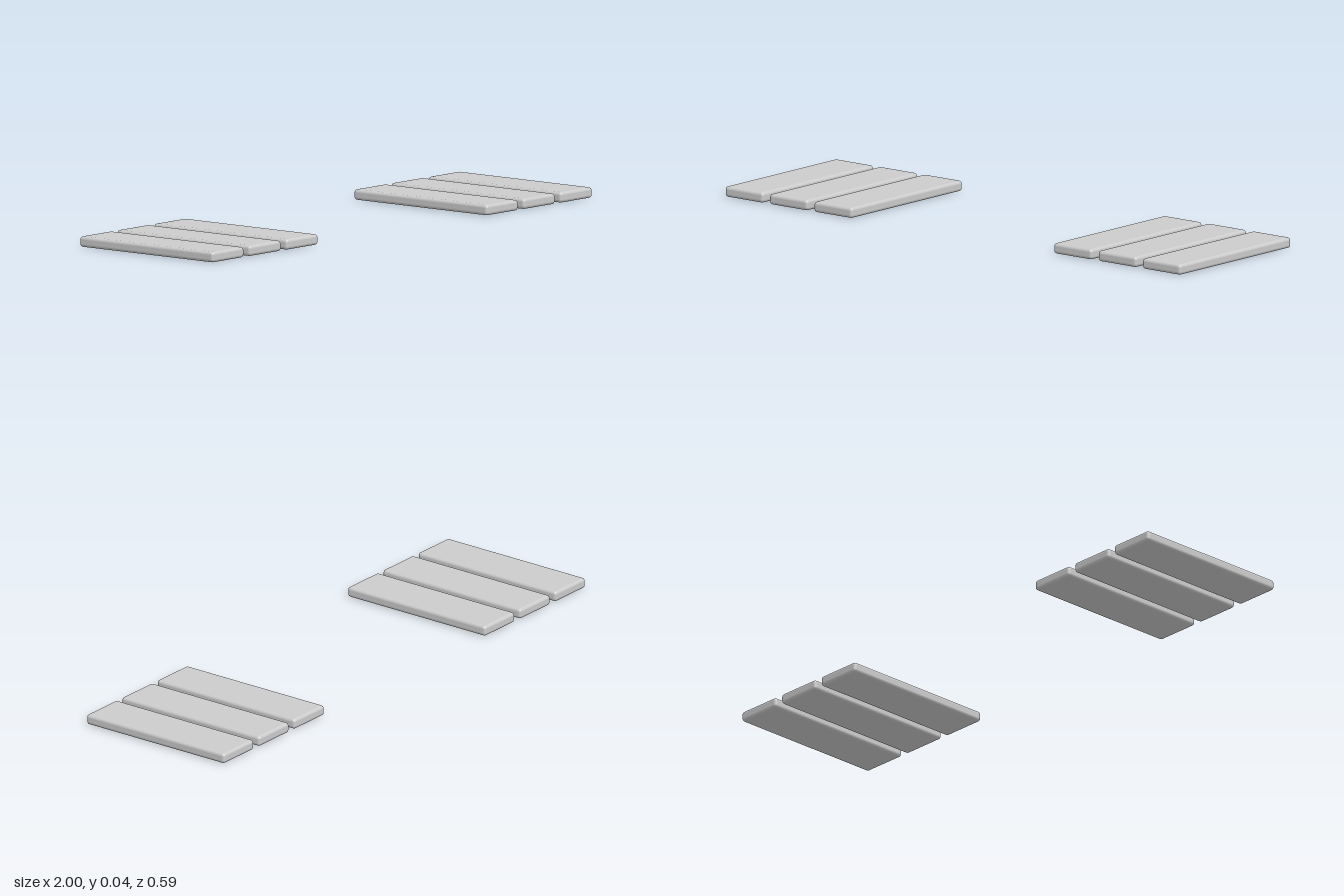
import * as THREE from 'three';
import { RoundedBoxGeometry } from 'three/addons/geometries/RoundedBoxGeometry.js';

const WIDTH = 0.168, HEIGHT = 0.036, DEPTH = 0.588, BEVEL = 0.011;
const PITCH = 0.195; // plank width plus gap

export function createModel() {
  const model = new THREE.Group();
  model.name = 'plankSets';
  const material = new THREE.MeshStandardMaterial({ color: 0xcccccc });
  const plankGeometry = new RoundedBoxGeometry(WIDTH, HEIGHT, DEPTH, 3, BEVEL);

  // Two mirrored sets of three rounded planks, counted from the outer end inwards
  for (const [side, sign] of [['left', 1], ['right', -1]]) {
    const set = new THREE.Group();
    set.name = `${side}PlankSet`;
    for (let i = 0; i < 3; i++) {
      const plank = new THREE.Mesh(plankGeometry, material);
      plank.name = `${side}Plank${i + 1}`;
      plank.position.set(sign * (1 - WIDTH / 2 - i * PITCH), HEIGHT / 2, 0);
      set.add(plank);
    }
    model.add(set);
  }
  return model;
}
